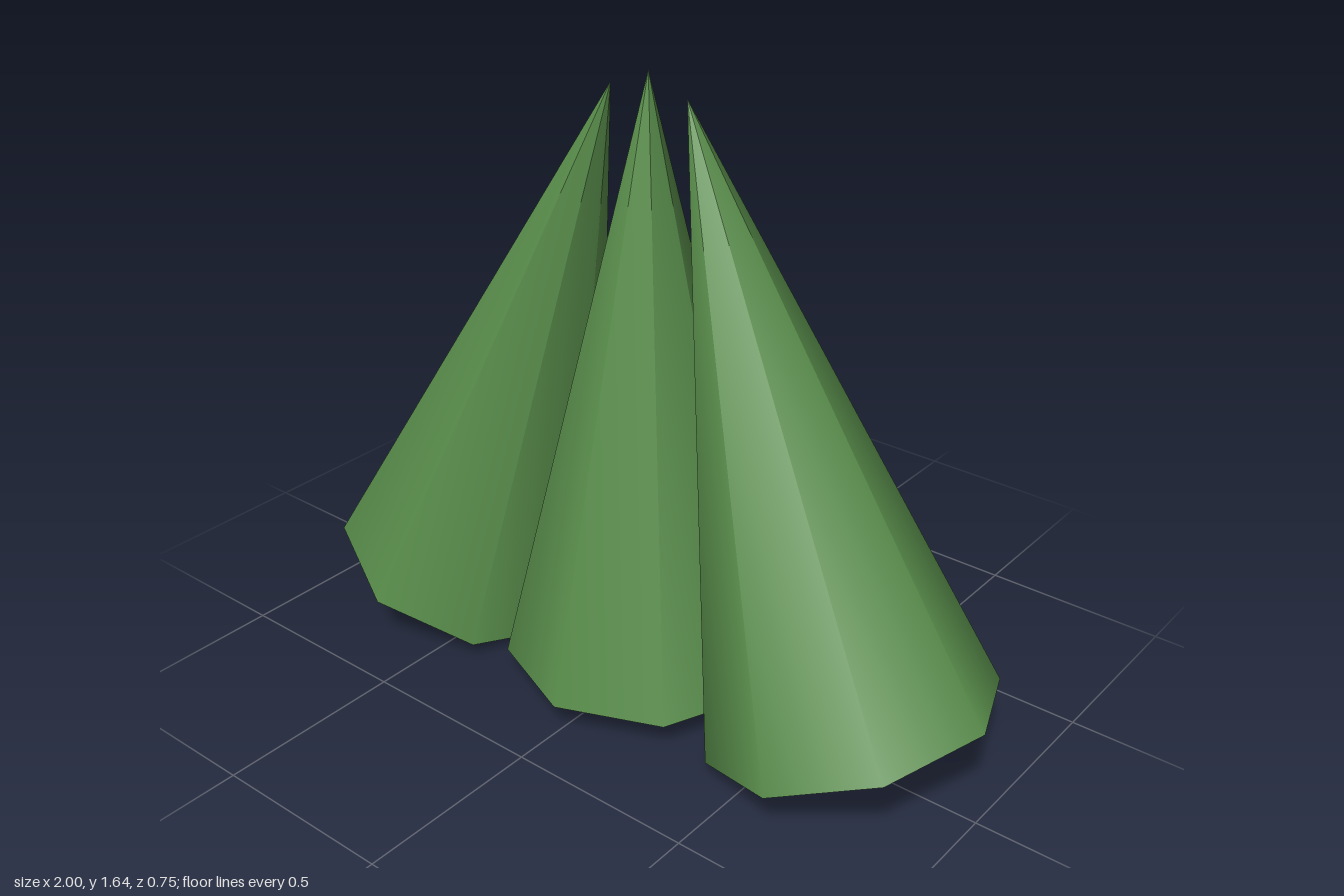
import * as THREE from 'three';

export function createModel() {
  const model = new THREE.Group();
  model.name = 'coneCluster';

  const green = new THREE.MeshStandardMaterial({ color: 0x5a8f4c });
  green.name = 'leaf green';

  // Eight-sided cone with smooth sides and a flat base
  const coneGeometry = new THREE.ConeGeometry(0.376, 1.56, 8);

  function addCone(name, x, y, tilt) {
    const cone = new THREE.Mesh(coneGeometry, green);
    cone.name = name;
    cone.position.set(x, y, 0);
    cone.rotation.z = THREE.MathUtils.degToRad(tilt);
    model.add(cone);
  }

  // Upright middle cone
  addCone('middleCone', 0, 0.867, 0);

  // Outer cones, leaning inwards
  for (const [name, side] of [['leftCone', 1], ['rightCone', -1]]) {
    addCone(name, side * 0.38, 0.867, side * 20);
  }

  return model;
}
